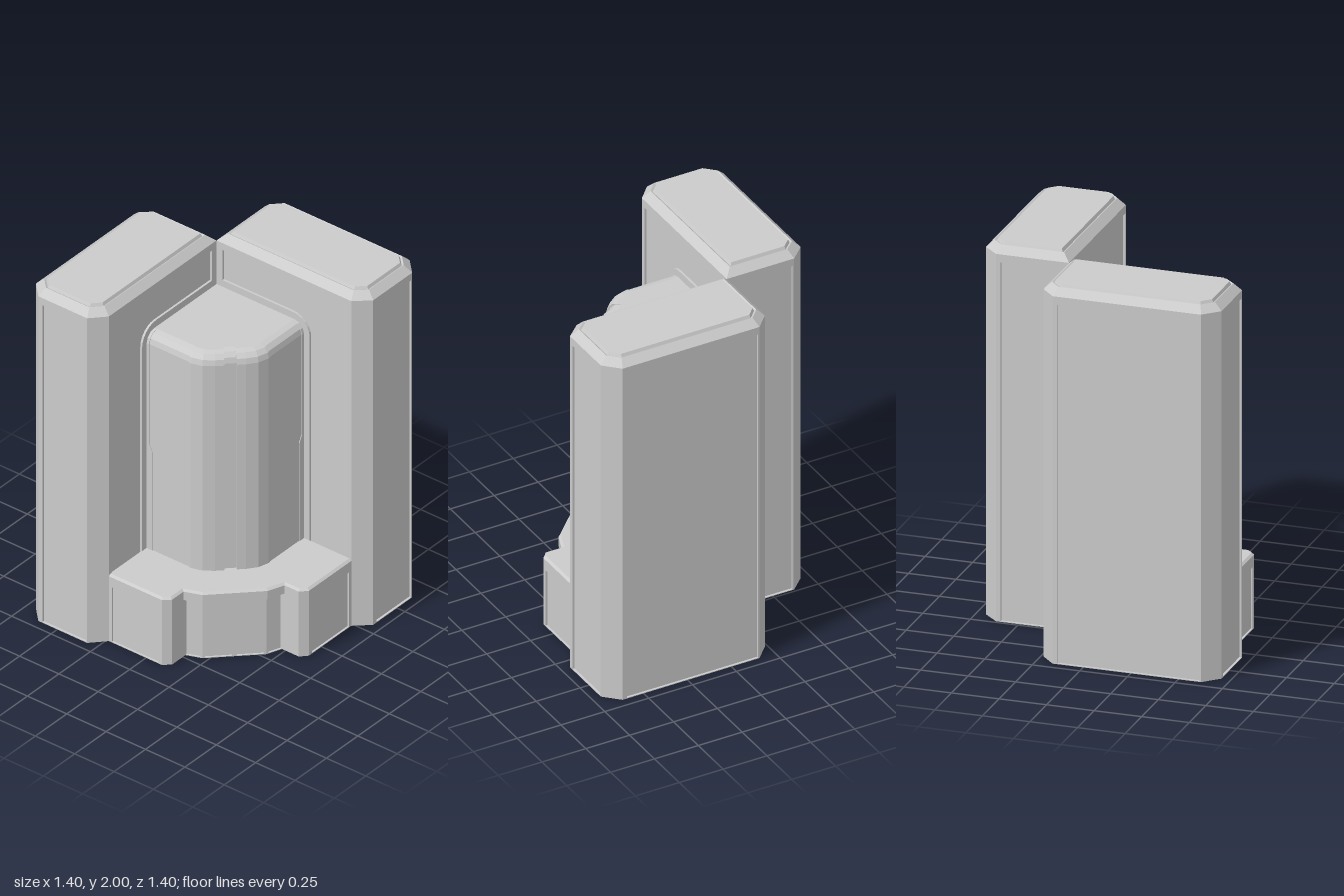
import * as THREE from 'three';
import { mergeGeometries } from 'three/addons/utils/BufferGeometryUtils.js';

// the walls are open shells, so both sides show
const material = new THREE.MeshStandardMaterial({ color: 0xcccccc, flatShading: true, side: THREE.DoubleSide });
const CORNER = -0.236; // where the two towers touch
const BACK = -0.237; // courtyard shapes meet the towers along this line

function add(group, name, geometry) {
  const mesh = new THREE.Mesh(geometry, material);
  mesh.name = name;
  group.add(mesh);
}

// Shrinks a plan outline of [x, z] points, keeping the edges against the towers in place
function inset(poly, d) {
  const n = poly.length;
  const normal = (a, b) => {
    const l = Math.hypot(b[0] - a[0], b[1] - a[1]);
    return [(a[1] - b[1]) / l, (b[0] - a[0]) / l];
  };
  return poly.map((p, i) => {
    const m = normal(poly[(i + n - 1) % n], p);
    const k = normal(p, poly[(i + 1) % n]);
    const s = d / (1 + m[0] * k[0] + m[1] * k[1]);
    return [0, 1].map(j => (p[j] === BACK ? BACK : p[j] - s * (m[j] + k[j])));
  });
}

// Joins plan rings { y, pts } upwards and closes the last with a lid
function loft(rings) {
  const pos = [];
  const put = (ring, i) => pos.push(ring.pts[i][0], ring.y, ring.pts[i][1]);
  const n = rings[0].pts.length;
  for (let r = 0; r + 1 < rings.length; r++) {
    const a = rings[r], b = rings[r + 1];
    for (let i = 0; i < n; i++) {
      const j = (i + 1) % n;
      put(a, i); put(a, j); put(b, j);
      put(a, i); put(b, j); put(b, i);
    }
  }
  const top = rings[rings.length - 1];
  const contour = top.pts.map(p => new THREE.Vector2(p[0], -p[1]));
  for (const t of THREE.ShapeUtils.triangulateShape(contour, [])) {
    for (const i of t) put(top, i);
  }
  const g = new THREE.BufferGeometry();
  g.setAttribute('position', new THREE.Float32BufferAttribute(pos, 3));
  g.computeVertexNormals();
  return g;
}

const rect = (x0, x1, y0, y1) => [[x0, y0], [x1, y0], [x1, y1], [x0, y1]];
const distance = (a, b) => Math.hypot(b[0] - a[0], b[1] - a[1]);

// Upright wall from plan point a to b, with an optional sunken panel
function wall(a, b, y0, y1, panel, depth = 0.012) {
  const vec = list => list.map(p => new THREE.Vector2(p[0], p[1]));
  const shape = new THREE.Shape(vec(rect(0, distance(a, b), y0, y1)));
  let g;
  if (panel) {
    shape.holes.push(new THREE.Path(vec(panel)));
    const frame = new THREE.ExtrudeGeometry(shape, { depth, bevelEnabled: false });
    // drop the hidden rear of the frame
    const skip = frame.groups[0].count / 2;
    for (const key of ['position', 'normal', 'uv']) {
      const at = frame.attributes[key];
      frame.setAttribute(key, new THREE.BufferAttribute(at.array.slice(skip * at.itemSize), at.itemSize));
    }
    frame.clearGroups();
    frame.translate(0, 0, -depth);
    const floor = new THREE.ShapeGeometry(new THREE.Shape(vec(panel))).toNonIndexed();
    floor.clearGroups();
    floor.translate(0, 0, -depth);
    g = mergeGeometries([frame, floor]);
  } else {
    g = new THREE.ShapeGeometry(shape);
  }
  g.rotateY(-Math.atan2(b[1] - a[1], b[0] - a[0]));
  return g.translate(a[0], 0, a[1]);
}

// Courtyard panel that steps around the arched trim of the central bay
function archPanel(length, mirrored) {
  const outer = length - (mirrored ? 0.025 : 0.008);
  const pts = [[0.038, 1.91], [outer, 1.91], [outer, 0.39], [0.592, 0.39]];
  for (let k = 0; k <= 6; k++) {
    const a = (k / 6) * Math.PI / 2;
    pts.push([0.482 + 0.11 * Math.cos(a), 1.62 + 0.11 * Math.sin(a)]);
  }
  pts.push([0.038, 1.73]);
  return mirrored ? pts.map(p => [length - p[0], p[1]]) : pts;
}

function tower(name, outline, mirrored) {
  const group = new THREE.Group();
  group.name = name;
  outline.forEach((a, i) => {
    const b = outline[(i + 1) % outline.length];
    const length = distance(a, b);
    if (length > 0.8) {
      // stands on the podium roof, open to the podium below
      add(group, 'courtyardWall', wall(a, b, 0.385, 1.952, archPanel(length, mirrored)));
    } else if (length > 0.2) {
      add(group, 'panelledWall', wall(a, b, 0, 1.952, rect(0.025, length - 0.008, 0.004, 1.91)));
    } else {
      add(group, 'cornerWall', wall(a, b, 0, 1.952));
    }
  });
  // bevelled roof with a shallow groove around the deck
  const steps = [[0, 1.952], [0.04, 1.99], [0.05, 1.984], [0.058, 2]];
  add(group, 'roof', loft(steps.map(([d, y]) => ({ y, pts: inset(outline, d) }))));
  return group;
}

// Central bay: faceted column with sunken strips and a rounded top
function centralBay() {
  const half = [[BACK, 0.32], [0.045, 0.32], [0.105, 0.303], [0.155, 0.265]];
  const outline = [...half, ...half.map(p => [p[1], p[0]]).reverse(), [BACK, BACK]];
  const ring = (y, d, t) => {
    const base = inset(outline, d);
    const notches = { 0: [t, 0.96, 0.004], 3: [0.3, 0.7, 0.016], 6: [0.04, 1 - t, 0.004] };
    const pts = [];
    base.forEach((p, i) => {
      pts.push(p);
      if (!notches[i]) return;
      const q = base[i + 1], [t0, t1, sink] = notches[i];
      const dx = q[0] - p[0], dz = q[1] - p[1], l = Math.hypot(dx, dz);
      for (const [s, k] of [[t0, 0], [t0, sink], [t1, sink], [t1, 0]]) {
        pts.push([p[0] + dx * s + (dz / l) * k, p[1] + dz * s - (dx / l) * k]);
      }
    });
    return { y, pts };
  };
  const rings = [ring(0.39, 0, 0.13), ring(0.99, 0, 0.13), ring(1.03, 0, 0.06)];
  for (let k = 0; k <= 3; k++) {
    const a = (k * Math.PI) / 6;
    rings.push(ring(1.63 + 0.06 * Math.sin(a), 0.06 * (1 - Math.cos(a)), 0.06));
  }
  return loft(rings);
}

function podium() {
  const group = new THREE.Group();
  group.name = 'podium';
  const half = [[BACK, 0.62], [0.10, 0.62], [0.138, 0.585], [0.138, 0.495], [0.23, 0.46]];
  const outline = [...half, ...half.map(p => [p[1], p[0]]).reverse(), [BACK, BACK]];
  // roof with a deep fascia
  const fascia = [[0, 0.34], [0, 0.39], [0.013, 0.4]];
  add(group, 'podiumRoof', loft(fascia.map(([d, y]) => ({ y, pts: inset(outline, d) }))));
  // side blocks
  const block = (a, b, panel) => add(group, 'blockWall', wall(a, b, 0, 0.34, panel, 0.01));
  block(outline[0], outline[1], rect(0.02, 0.315, 0.004, 0.33));
  block(outline[1], outline[2]);
  block(outline[2], [0.138, 0.47]);
  block([0.47, 0.138], outline[7]);
  block(outline[7], outline[8]);
  block(outline[8], outline[9], rect(0.022, 0.317, 0.004, 0.33));
  // entrance front set back under the roof
  const p = inset(outline, 0.015);
  const mid = [(p[4][0] + p[5][0]) / 2, (p[4][1] + p[5][1]) / 2];
  const path = [p[3], p[4], mid, p[5], p[6]];
  for (let i = 0; i < 4; i++) {
    const panel = rect(0.012, distance(path[i], path[i + 1]) - 0.012, 0.004, 0.33);
    add(group, 'entrancePanel', wall(path[i], path[i + 1], 0, 0.34, panel, 0.01));
  }
  const soffit = [...outline.slice(3, 7), ...p.slice(3, 7).reverse()];
  add(group, 'soffit', loft([{ y: 0.34, pts: soffit }]));
  return group;
}

export function createModel() {
  const model = new THREE.Group();
  model.name = 'cornerBuilding';
  const outline = [[-0.62, 0.7], [-0.31, 0.7], [CORNER, 0.62], [CORNER, CORNER],
    [-0.62, CORNER], [-0.7, -0.16], [-0.7, 0.62]];
  model.add(tower('rightTower', outline, true));
  // the back tower mirrors the right one across the diagonal
  model.add(tower('backTower', outline.map(p => [p[1], p[0]]).reverse(), false));
  add(model, 'centralBay', centralBay());
  model.add(podium());
  return model;
}
